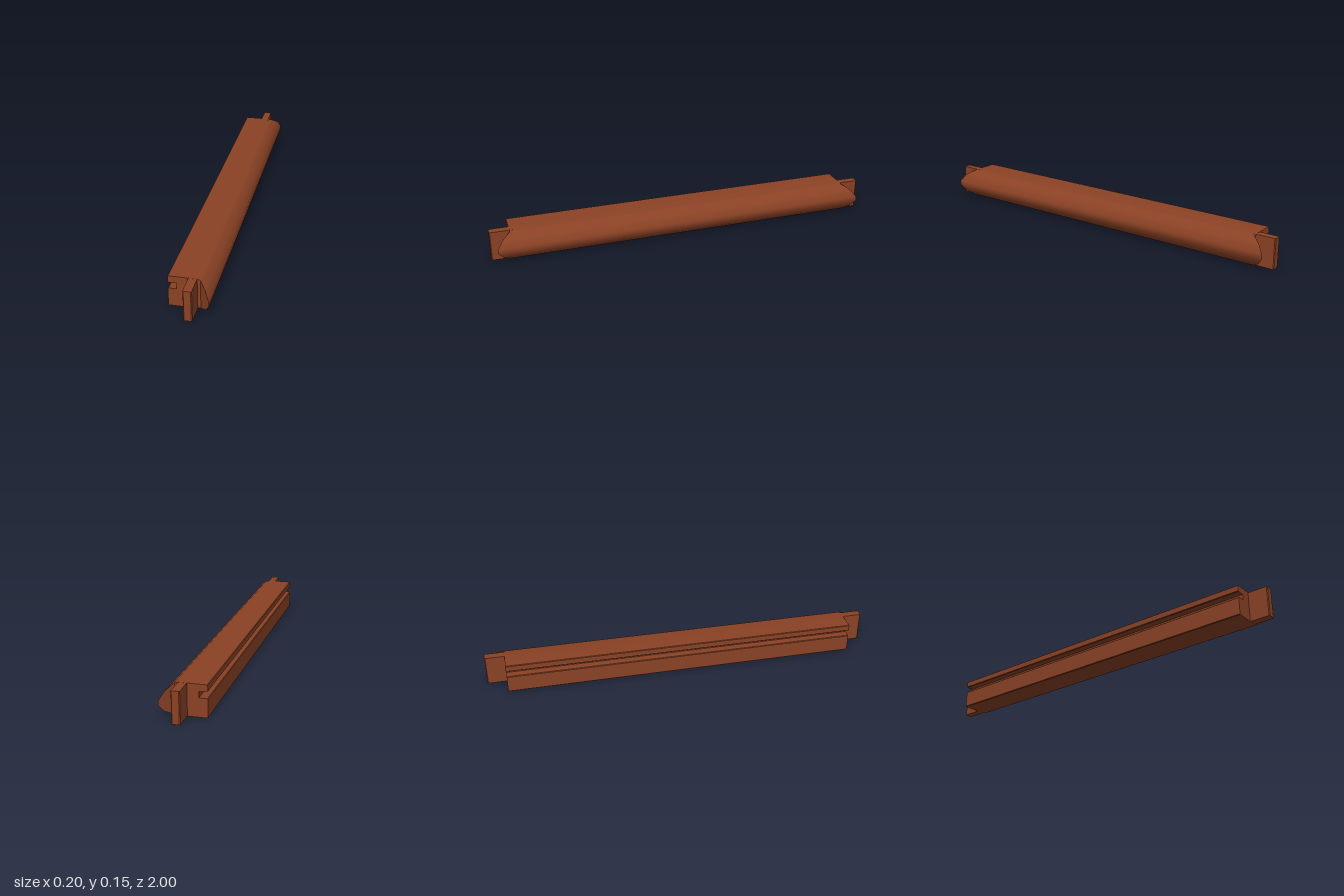
import * as THREE from 'three';
import { mergeGeometries, toCreasedNormals } from 'three/addons/utils/BufferGeometryUtils.js';

const HEIGHT = 0.153;
const HALF = 0.9; // half length of the square-cut part
const BEND = 0.047; // x where the end cut turns into a mitre

// Extrudes a cross-section along z, centred on z = 0
function extrudeBar(points) {
  const shape = new THREE.Shape(points.map(([x, y]) => new THREE.Vector2(x, y)));
  const bar = new THREE.ExtrudeGeometry(shape, { depth: HALF * 2, bevelEnabled: false });
  return bar.translate(0, 0, -HALF);
}

export function createModel() {
  const group = new THREE.Group();
  const wood = new THREE.MeshStandardMaterial({ color: 0x8b4225 });
  wood.name = 'reddish brown wood';

  // Grooved body with slightly eased back edges
  const c = 0.003;
  const body = extrudeBar([
    [-0.1 + c, 0], [0.03, 0], [BEND, 0.004],
    [BEND, HEIGHT - 0.004], [0.03, HEIGHT], [-0.1 + c, HEIGHT],
    [-0.1, HEIGHT - c], [-0.1, 0.12 + c], [-0.1 + c, 0.12],
    [-0.06, 0.12], [-0.06, 0.09],
    [-0.1 + c, 0.09], [-0.1, 0.09 - c], [-0.1, c],
  ]);

  // Rounded nose, its ends stretched outward into mitres
  const lower = [[BEND, 0.004], [0.053, 0.007], [0.08, 0.03], [0.1, 0.066]];
  const upper = lower.map(([x, y]) => [x, HEIGHT - y]).reverse();
  const nose = extrudeBar([...lower, ...upper]);
  const pos = nose.attributes.position;
  for (let i = 0; i < pos.count; i++) {
    const z = pos.getZ(i);
    pos.setZ(i, z + Math.sign(z) * Math.max(0, pos.getX(i) - BEND) * 1.32);
  }

  const rail = new THREE.Mesh(toCreasedNormals(mergeGeometries([body, nose]), 0.6), wood);
  rail.name = 'rail';
  group.add(rail);

  // Upright tenons at both ends, with eased outer corners
  const x0 = -0.007, x1 = 0.033, z0 = HALF - 0.02, z1 = 1, e = 0.004;
  const plan = new THREE.Shape([
    [x0, -z0], [x0, -z1 + e], [x0 + e, -z1], [x1 - e, -z1], [x1, -z1 + e], [x1, -z0],
  ].map(([x, y]) => new THREE.Vector2(x, y)));
  const tenon = new THREE.ExtrudeGeometry(plan, { depth: HEIGHT - 0.001, bevelEnabled: false });
  tenon.rotateX(-Math.PI / 2).translate(0, 0.0005, 0);
  for (const side of [1, -1]) {
    const mesh = new THREE.Mesh(tenon.clone(), wood);
    if (side < 0) mesh.geometry.rotateY(Math.PI).translate(x0 + x1, 0, 0);
    mesh.name = side > 0 ? 'frontTenon' : 'backTenon';
    group.add(mesh);
  }
  return group;
}
